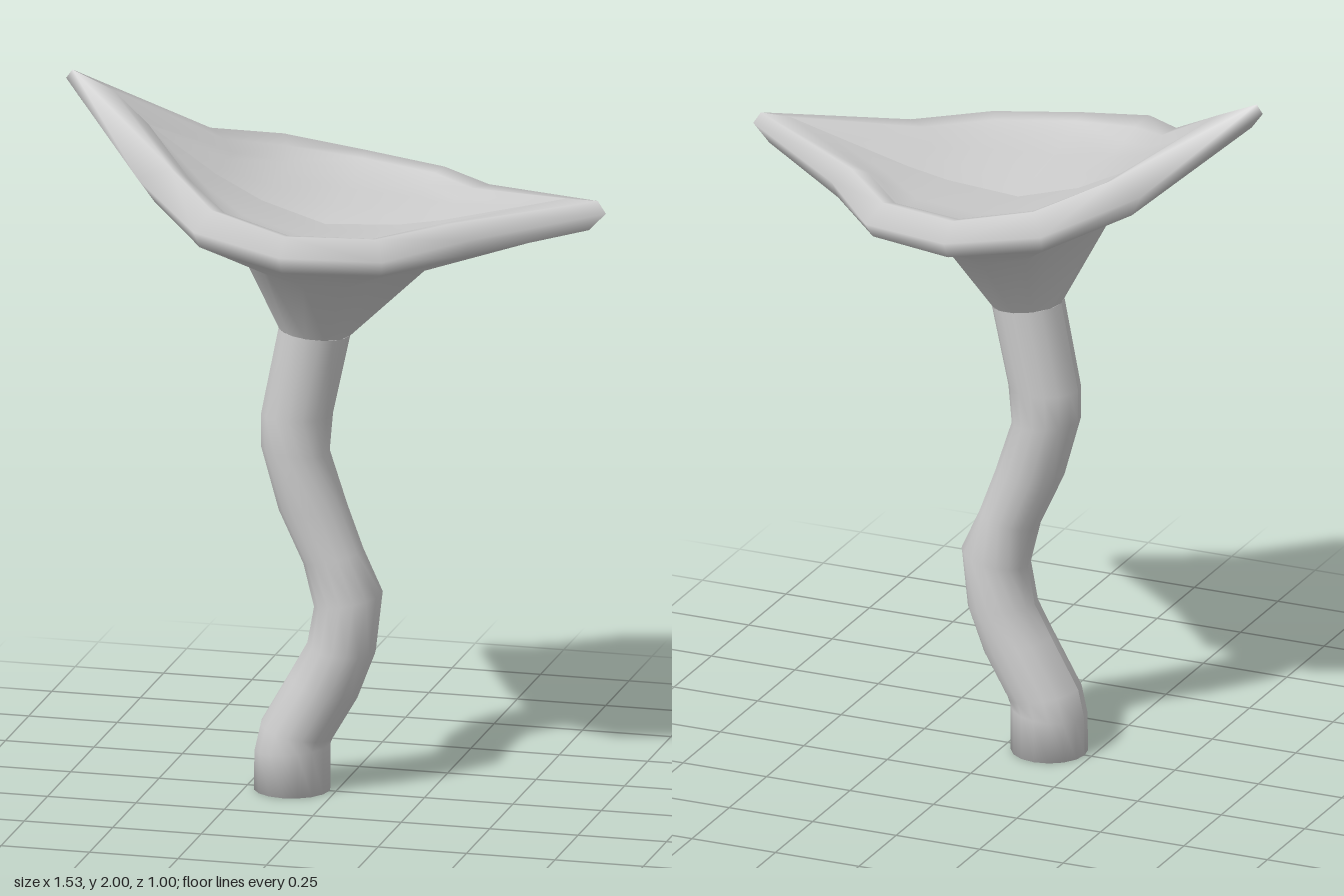
import * as THREE from 'three';

const material = new THREE.MeshStandardMaterial({ color: 0xcccccc, side: THREE.DoubleSide });

// Skins rows of [x, y, z] points; side = -1 mirrors in z and keeps faces outward.
function loft(rows, side = 1) {
  const n = rows[0].length, index = [];
  const positions = rows.flat().flatMap(([x, y, z]) => [x, y, z * side]);
  for (let r = 0; r < rows.length - 1; r++) {
    for (let i = 0; i < n - 1; i++) {
      const a = r * n + i, b = a + 1, c = a + n, d = c + 1;
      if (side > 0) index.push(a, b, c, b, d, c);
      else index.push(a, c, b, b, c, d);
    }
  }
  const geometry = new THREE.BufferGeometry();
  geometry.setAttribute('position', new THREE.Float32BufferAttribute(positions, 3));
  geometry.setIndex(index);
  geometry.computeVertexNormals();
  return geometry;
}

function addMesh(parent, name, geometry) {
  const mesh = new THREE.Mesh(geometry, material);
  mesh.name = name;
  parent.add(mesh);
}

// Stem sections: left x, y, right x, y, and half depth in z; the first closes the foot
const stemSections = [
  [-0.125, 0, -0.125, 0, 0],
  [-0.23, 0, -0.018, 0, 0.105],
  [-0.228, 0.11, -0.018, 0.13, 0.105],
  [-0.21, 0.19, -0.01, 0.15, 0.105],
  [-0.13, 0.33, 0.06, 0.27, 0.103],
  [-0.08, 0.42, 0.11, 0.40, 0.1],
  [-0.06, 0.53, 0.13, 0.57, 0.094],
  [-0.09, 0.65, 0.075, 0.69, 0.085],
  [-0.16, 0.80, 0.03, 0.81, 0.092],
  [-0.21, 0.98, -0.02, 0.96, 0.095],
  [-0.21, 1.07, -0.01, 1.07, 0.096],
  [-0.16, 1.32, 0.04, 1.30, 0.1],
];

// Point at angle a on a stem section, starting at its left end
function sectionPoint([lx, ly, rx, ry, depth], a) {
  const t = (1 - Math.cos(a)) / 2;
  return [lx + (rx - lx) * t, ly + (ry - ly) * t, depth * Math.sin(a)];
}

// Half outlines of the cup, from the tall tip to the low tip
const middle = [[-0.3, 1.58, 0], [-0.19, 1.535, 0.12], [-0.14, 1.515, 0.2], [-0.03, 1.5, 0.24],
  [0.08, 1.495, 0.2], [0.15, 1.5, 0.11], [0.25, 1.5, 0]];
const under = [[-0.55, 1.79, 0], [-0.36, 1.66, 0.17], [-0.24, 1.6, 0.33], [-0.03, 1.585, 0.39],
  [0.2, 1.57, 0.32], [0.36, 1.58, 0.17], [0.6, 1.62, 0]];
const rimLow = [[-0.73, 1.93, 0], [-0.46, 1.7, 0.2], [-0.28, 1.64, 0.4], [-0.03, 1.605, 0.47],
  [0.23, 1.595, 0.39], [0.42, 1.61, 0.2], [0.715, 1.65, 0]];
const rimOuter = [[-0.763, 1.975, 0], [-0.5, 1.77, 0.23], [-0.29, 1.69, 0.43], [-0.03, 1.655, 0.5],
  [0.24, 1.64, 0.42], [0.43, 1.66, 0.22], [0.763, 1.7, 0]];
const rimTop = [[-0.745, 2, 0], [-0.41, 1.8, 0.21], [-0.25, 1.745, 0.39], [-0.03, 1.7, 0.44],
  [0.21, 1.69, 0.37], [0.38, 1.7, 0.2], [0.74, 1.735, 0]];
const rimCurl = [[-0.63, 1.95, 0], [-0.37, 1.775, 0.2], [-0.225, 1.725, 0.34], [-0.03, 1.69, 0.395],
  [0.19, 1.68, 0.335], [0.335, 1.69, 0.185], [0.65, 1.735, 0]];
const rimInner = [[-0.53, 1.86, 0], [-0.34, 1.74, 0.19], [-0.21, 1.69, 0.31], [-0.03, 1.665, 0.36],
  [0.18, 1.655, 0.31], [0.3, 1.665, 0.17], [0.55, 1.71, 0]];

// Valley height along the bottom of the hollow, rising to both tips
function valley(x) {
  const tip = x < 0 ? rimInner[0] : rimInner[6];
  return 1.61 + (tip[1] - 1.61) * (x / tip[0]) ** 1.6;
}

export function createModel() {
  const model = new THREE.Group();

  // Wavy stem with a closed foot
  const ring = (section) => Array.from({ length: 17 }, (_, i) => sectionPoint(section, (i / 16) * Math.PI * 2));
  addMesh(model, 'stem', loft(stemSections.map(ring)));

  // Cup: flared underside, rolled rim and hollow, as two mirrored halves with a centre crease
  const neck = middle.map((_, i) => sectionPoint(stemSections.at(-1), (i / 6) * Math.PI));
  const hollow = [0.67, 0.33, 0].map((t) => rimInner.map(([x, y, z]) => [
    x, valley(x) + (y - valley(x)) * t, z * t,
  ]));
  const cup = new THREE.Group();
  cup.name = 'cup';
  const rows = [neck, middle, under, rimLow, rimOuter, rimTop, rimCurl, rimInner, ...hollow];
  addMesh(cup, 'frontHalf', loft(rows));
  addMesh(cup, 'backHalf', loft(rows, -1));
  model.add(cup);
  return model;
}
